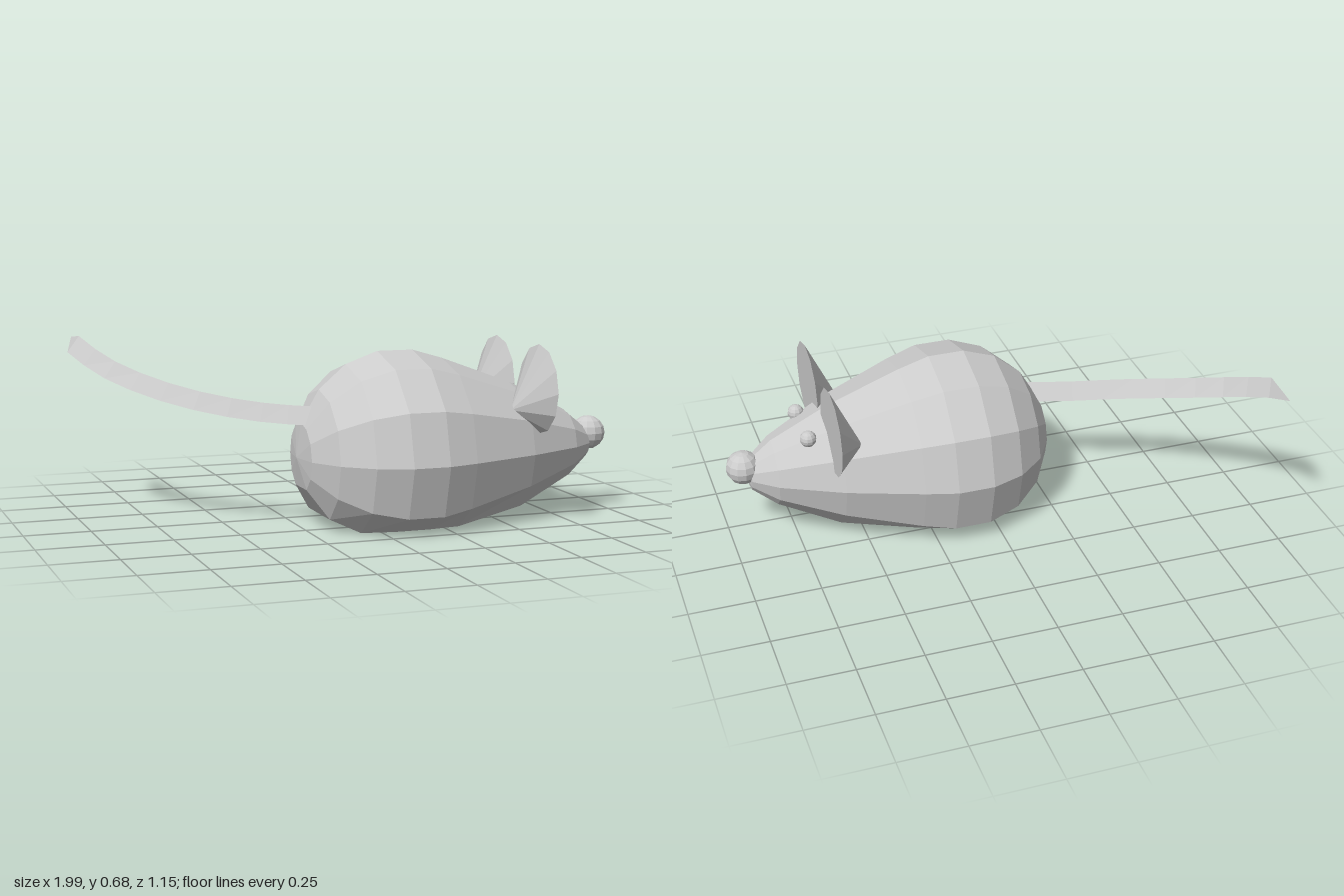
import * as THREE from 'three';

const MID_Z = 0.195, MID_Y = 0.265;

// Skin through cross-sections of equal length, each counter-clockwise seen from ahead
function loft(rings) {
  const pos = [];
  const n = rings[0].length;
  for (let i = 0; i < rings.length - 1; i++) {
    for (let j = 0; j < n; j++) {
      const k = (j + 1) % n;
      const a = rings[i][j], b = rings[i][k], c = rings[i + 1][k], d = rings[i + 1][j];
      if (!a.equals(b)) pos.push(...a.toArray(), ...b.toArray(), ...d.toArray());
      if (!c.equals(d)) pos.push(...b.toArray(), ...c.toArray(), ...d.toArray());
    }
  }
  const geo = new THREE.BufferGeometry();
  geo.setAttribute('position', new THREE.Float32BufferAttribute(pos, 3));
  geo.computeVertexNormals();
  return geo;
}

// Twelve-sided ring in a plane across x
function ring(x, y, z, r, shape = (p) => p) {
  return Array.from({ length: 12 }, (_, j) => {
    const a = (j * Math.PI) / 6;
    return shape(new THREE.Vector3(x, y + r * Math.sin(a), z - r * Math.cos(a)), r);
  });
}

export function createModel() {
  const group = new THREE.Group();
  const material = new THREE.MeshStandardMaterial({ color: 0xcccccc, flatShading: true });
  const add = (name, geometry) => {
    const mesh = new THREE.Mesh(geometry, material);
    mesh.name = name;
    group.add(mesh);
    return mesh;
  };

  // Body: teardrop with a flattened belly
  const profile = [
    [-0.268, 0], [-0.25, 0.13], [-0.18, 0.25], [-0.075, 0.34], [0.05, 0.385], [0.19, 0.385],
    [0.31, 0.35], [0.59, 0.247], [0.82, 0.133], [0.91, 0.06], [0.93, 0],
  ];
  const flatten = (p, r) => {
    p.y = Math.max(p.y, MID_Y - r * 0.867, 0);
    return p;
  };
  add('body', loft(profile.map(([x, r]) => ring(x, MID_Y, MID_Z, r, flatten))));

  // Nose
  add('nose', new THREE.SphereGeometry(0.066, 12, 8)).position.set(0.932, 0.3, MID_Z);

  for (const [side, s] of [['left', -1], ['right', 1]]) {
    // Eyes
    add(side + 'Eye', new THREE.SphereGeometry(0.032, 10, 8))
      .position.set(0.695, 0.44, MID_Z + s * 0.102);
    // Ears: shallow cone with its flat face forward
    const z = MID_Z + s * 0.19;
    const ear = [
      ring(0.51, 0.43, z, 0),
      ring(0.625, 0.505, MID_Z + s * 0.205 - s * 0.015, 0.169),
      ring(0.625, 0.505, z, 0),
    ];
    add(side + 'Ear', loft(ear));
  }

  // Tail: three-sided sweep, ridge on top, ending in a point
  const path = new THREE.CatmullRomCurve3([
    [-0.21, 0.415, 0.21], [-0.36, 0.425, 0.145], [-0.55, 0.455, 0.045], [-0.73, 0.505, -0.1],
    [-0.87, 0.57, -0.26], [-0.955, 0.645, -0.43],
  ].map((p) => new THREE.Vector3(...p)));
  const up = new THREE.Vector3(0, 1, 0);
  const sections = [];
  const STEPS = 9;
  for (let i = 0; i <= STEPS; i++) {
    const c = path.getPoint(i / STEPS), t = path.getTangent(i / STEPS);
    const across = new THREE.Vector3().crossVectors(t, up).normalize();
    const lift = new THREE.Vector3().crossVectors(across, t);
    const at = (u, v) => c.clone().addScaledVector(across, u).addScaledVector(lift, v);
    sections.push([at(-0.038, -0.026), at(0, 0.04), at(0.038, -0.026)]);
  }
  const tip = new THREE.Vector3(-0.95, 0.666, -0.57);
  sections.push([tip, tip, tip]);
  const root = path.getPoint(0);
  sections.unshift([root, root, root]);
  add('tail', loft(sections));

  return group;
}
